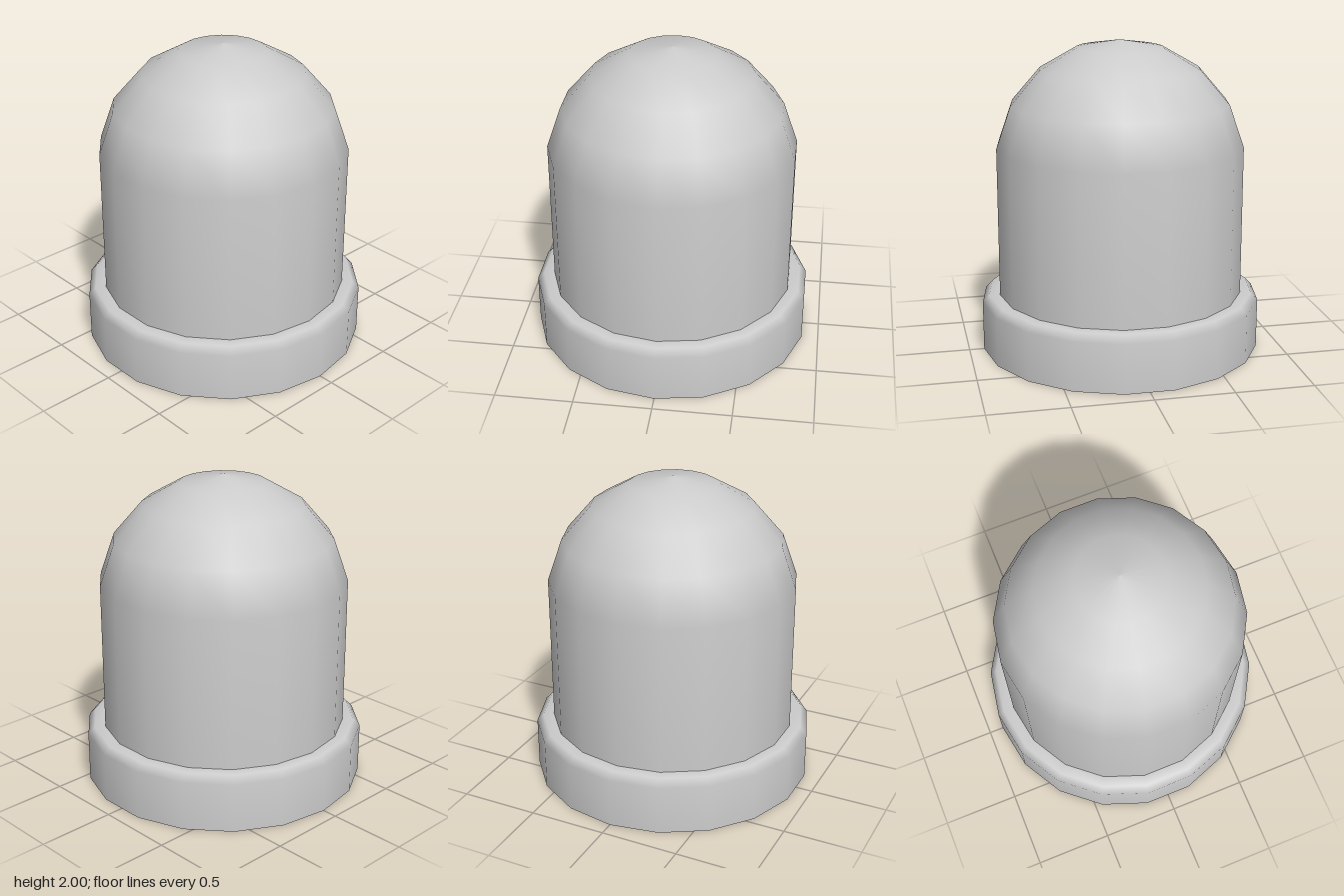
import * as THREE from 'three';

const SIDES = 18;

// Open surface of revolution with a corner on the x axis
function revolve(name, profile, material) {
  const points = profile.map(([r, y]) => new THREE.Vector2(r, y));
  const mesh = new THREE.Mesh(new THREE.LatheGeometry(points, SIDES, Math.PI / 2), material);
  mesh.name = name;
  return mesh;
}

export function createModel() {
  const group = new THREE.Group();
  group.name = 'domedCap';
  const material = new THREE.MeshStandardMaterial({ color: 0xcccccc, side: THREE.DoubleSide });

  // Wide collar, open below, with a chamfered shoulder turning in to the dome
  group.add(revolve('baseCollar', [
    [0.905, 0], [0.905, 0.32], [0.862, 0.365], [0.792, 0.365],
  ], material));

  // Straight wall closing into a faceted dome
  group.add(revolve('domeShell', [
    [0.792, 0.365], [0.792, 1.33], [0.698, 1.6], [0.513, 1.815], [0.275, 1.953], [0, 2],
  ], material));

  return group;
}
